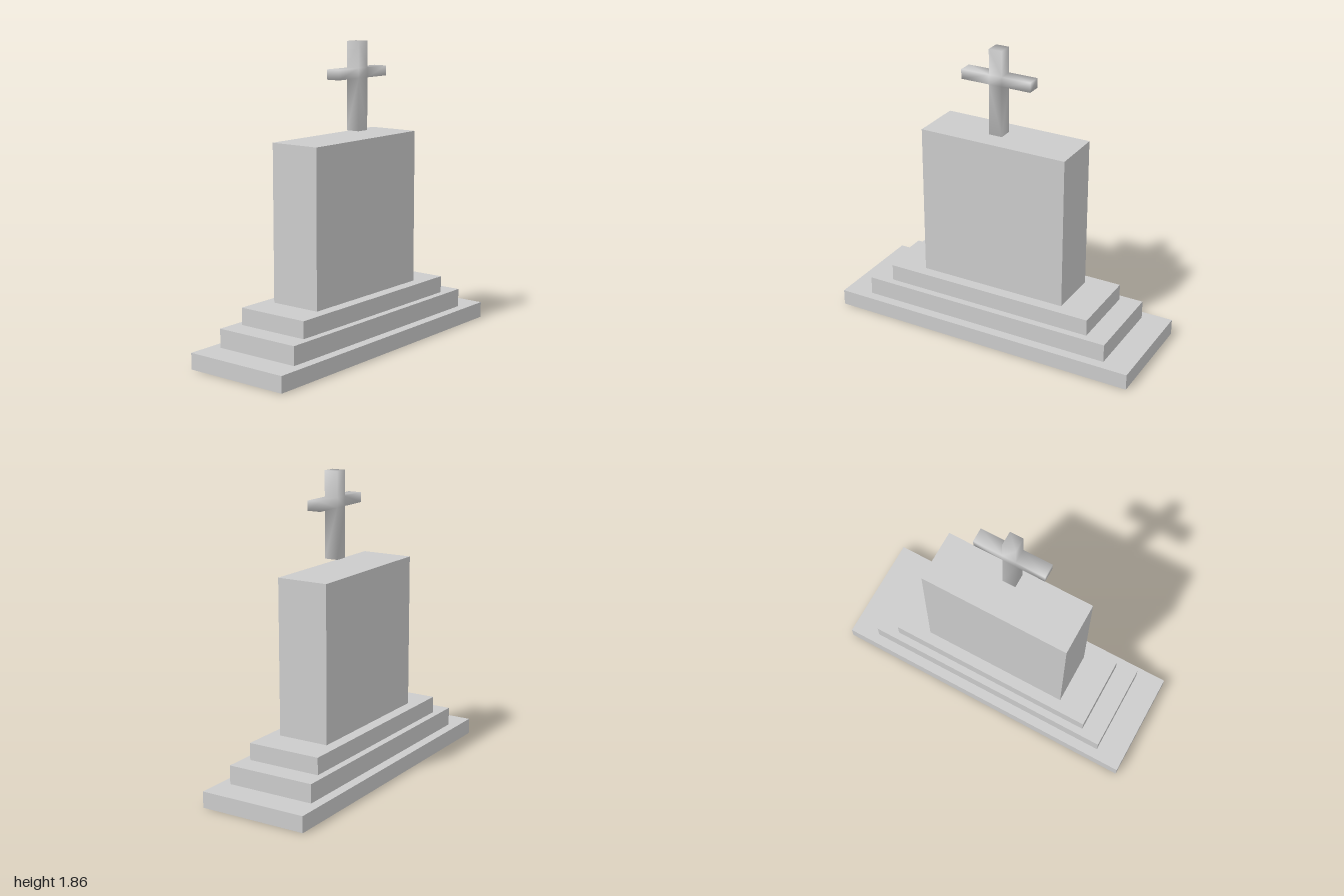
import * as THREE from 'three';
import { mergeVertices } from 'three/addons/utils/BufferGeometryUtils.js';

export function createModel() {
  const model = new THREE.Group();
  model.name = 'monument';
  const stone = new THREE.MeshStandardMaterial({ color: 0xcccccc });

  // Stepped plinth and slab: name, width, depth, bottom, top
  const blocks = [
    ['baseStep', 0.69, 2.0, 0, 0.1],
    ['middleStep', 0.566, 1.645, 0.1, 0.215],
    ['topStep', 0.475, 1.37, 0.215, 0.32],
    ['slab', 0.33, 0.96, 0.32, 1.28],
  ];
  for (const [name, width, depth, bottom, top] of blocks) {
    const block = new THREE.Mesh(new THREE.BoxGeometry(width, top - bottom, depth), stone);
    block.name = name;
    block.position.y = (bottom + top) / 2;
    model.add(block);
  }

  // Cross floating just above the slab, outlined side-on and extruded along x
  const post = 0.0425, arm = 0.2275;
  const footY = 1.325, armLow = 1.64, armHigh = 1.7, headY = 1.857;
  const outline = new THREE.Shape([
    [-post, footY], [post, footY], [post, armLow], [arm, armLow],
    [arm, armHigh], [post, armHigh], [post, headY], [-post, headY],
    [-post, armHigh], [-arm, armHigh], [-arm, armLow], [-post, armLow],
  ].map(([x, y]) => new THREE.Vector2(x, y)));
  let crossGeometry = new THREE.ExtrudeGeometry(outline, { depth: 0.088, bevelEnabled: false });
  crossGeometry.rotateY(Math.PI / 2);

  // Shared corners give the cross its soft shading
  crossGeometry.deleteAttribute('uv');
  crossGeometry.deleteAttribute('normal');
  crossGeometry = mergeVertices(crossGeometry);
  crossGeometry.computeVertexNormals();

  const cross = new THREE.Mesh(crossGeometry, stone);
  cross.name = 'cross';
  cross.position.set(0.035, 0, -0.006);
  model.add(cross);

  return model;
}
